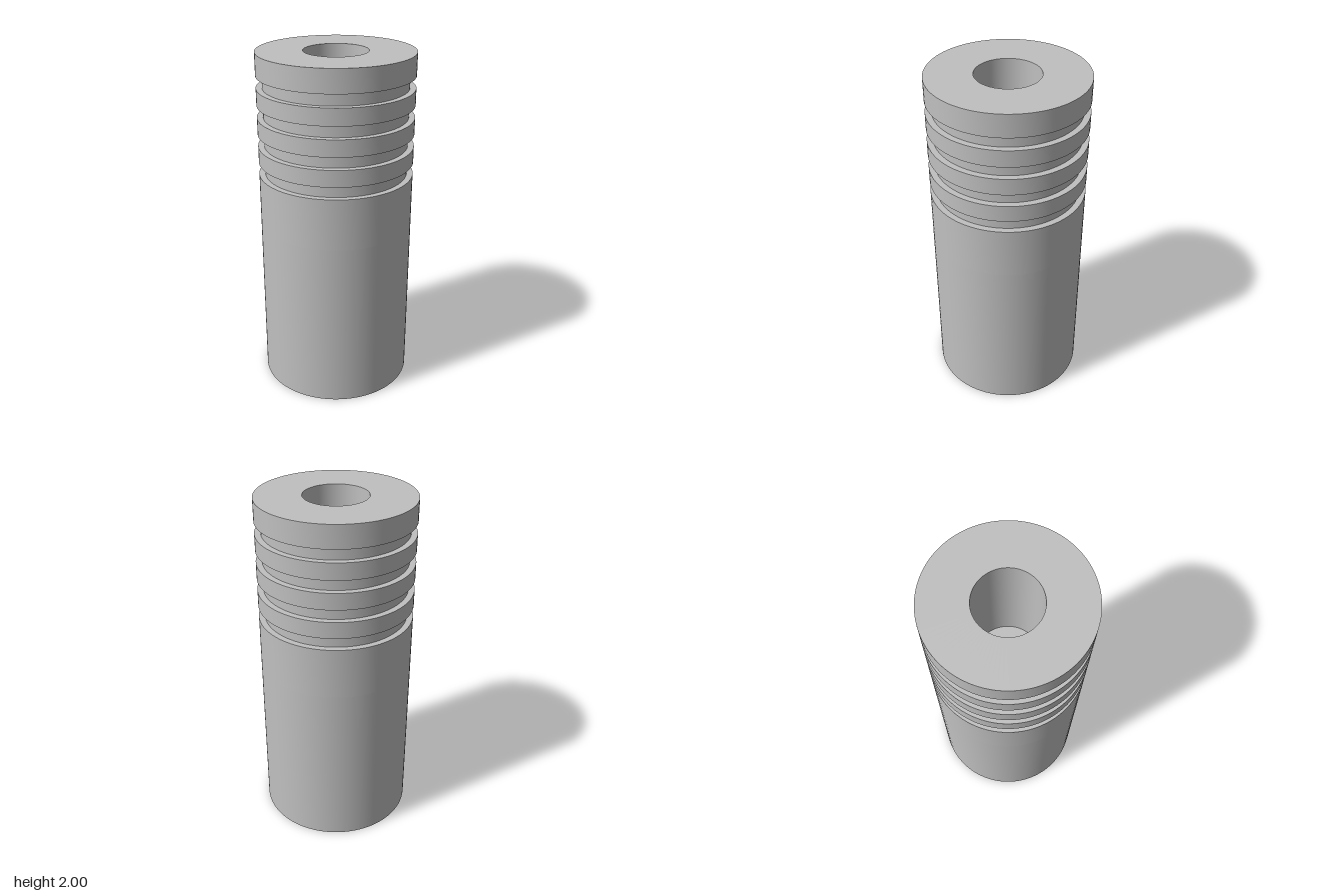
import * as THREE from 'three';
import { toCreasedNormals } from 'three/addons/utils/BufferGeometryUtils.js';

const R = 0.445;          // outer radius
const GROOVE_R = 0.41;    // radius at the groove floors
const BORE_R = 0.182;     // blind bore in the top
const SOCKET_R = 0.236;   // D-shaped socket in the bottom
const SOCKET_FLAT = 0.2;  // distance of the socket's flat from the axis
const SOCKET_TOP = 1.0;
const BORE_FLOOR = 1.3;
const SEGMENTS = 96;

export function createModel() {
  const group = new THREE.Group();
  const grey = new THREE.MeshStandardMaterial({ color: 0xc0c0c0 });
  grey.name = 'light grey';

  const add = (name, geometry) => {
    const mesh = new THREE.Mesh(toCreasedNormals(geometry, Math.PI / 6), grey);
    mesh.name = name;
    group.add(mesh);
  };

  // Lower barrel: a disc with a D-shaped socket, flat side to the back
  const disc = new THREE.Shape().absarc(0, 0, R, 0, Math.PI * 2, false);
  const half = Math.acos(SOCKET_FLAT / SOCKET_R);
  const socket = new THREE.Path();
  socket.absarc(0, 0, SOCKET_R, Math.PI / 2 + half, Math.PI * 2.5 - half, false);
  socket.closePath();
  disc.holes.push(socket);
  const lower = new THREE.ExtrudeGeometry(disc, {
    depth: SOCKET_TOP, bevelEnabled: false, curveSegments: SEGMENTS / 2,
  });
  lower.rotateX(-Math.PI / 2);
  add('lowerBarrel', lower);

  // Upper barrel: four grooves round the outside, blind bore from the top
  const profile = [[0, SOCKET_TOP], [R, SOCKET_TOP]];
  for (let i = 0; i < 4; i++) {
    const y = 1.3 + i / 6;
    profile.push([R, y], [GROOVE_R, y], [GROOVE_R, y + 0.07], [R, y + 0.07]);
  }
  profile.push([R, 2], [BORE_R, 2], [BORE_R, BORE_FLOOR], [0, BORE_FLOOR]);
  const points = profile.map(([x, y]) => new THREE.Vector2(x, y));
  add('groovedUpperBarrel', new THREE.LatheGeometry(points, SEGMENTS));

  return group;
}
